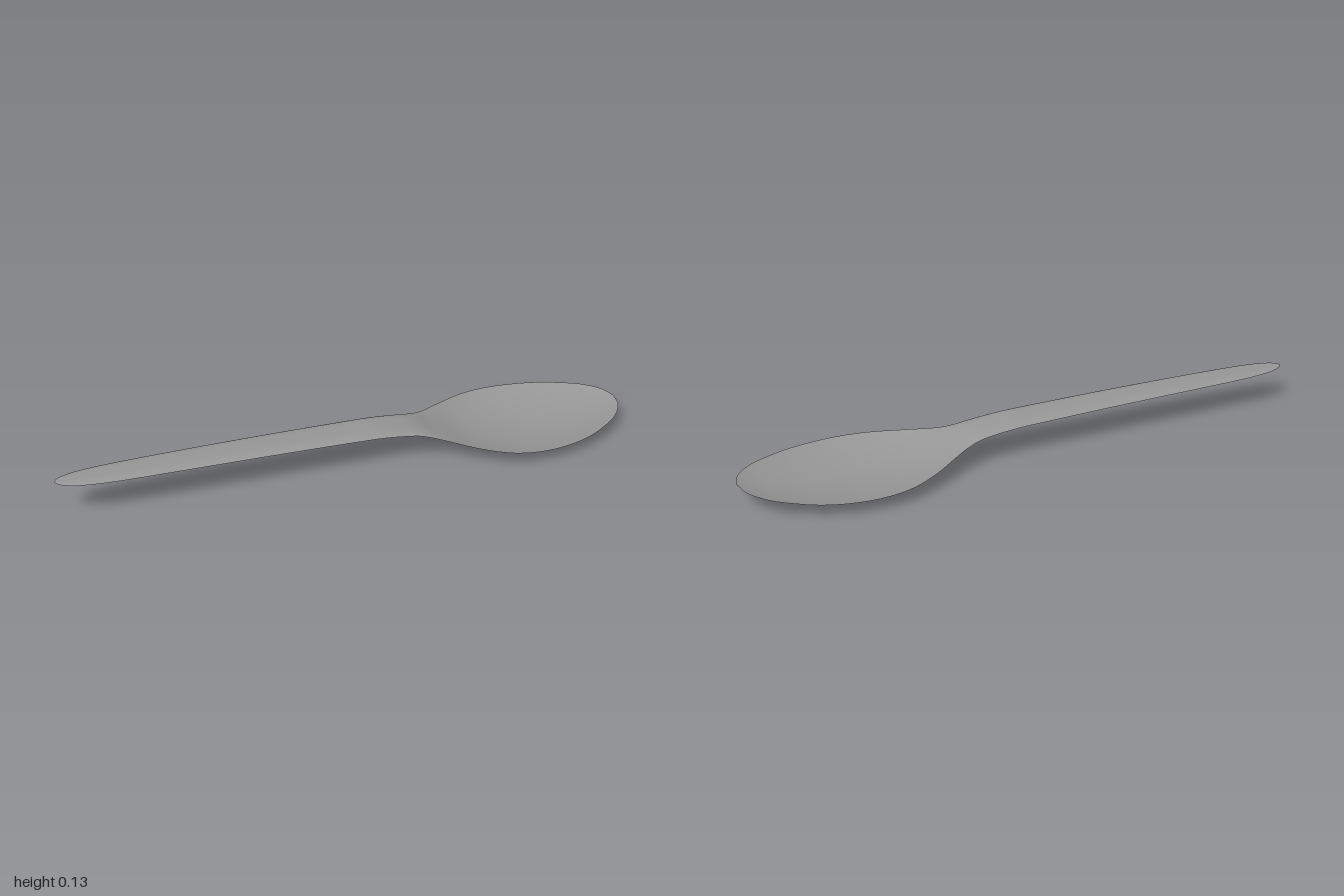
import * as THREE from 'three';

// Stations along the spoon: x, half width, edge height, top centre height, bottom centre height
const stations = [
  [-1, 0.0, 0.123, 0.123, 0.123],
  [-0.985, 0.021, 0.122, 0.125, 0.121],
  [-0.95, 0.038, 0.121, 0.126, 0.120],
  [-0.9, 0.049, 0.120, 0.127, 0.119],
  [-0.8, 0.058, 0.119, 0.128, 0.117],
  [-0.6, 0.064, 0.118, 0.128, 0.115],
  [-0.3, 0.069, 0.115, 0.127, 0.111],
  [0, 0.073, 0.109, 0.122, 0.105],
  [0.1, 0.075, 0.105, 0.117, 0.100],
  [0.2, 0.079, 0.094, 0.104, 0.088],
  [0.25, 0.089, 0.083, 0.090, 0.076],
  [0.3, 0.112, 0.072, 0.071, 0.060],
  [0.4, 0.175, 0.056, 0.037, 0.026],
  [0.5, 0.222, 0.047, 0.019, 0.009],
  [0.6, 0.239, 0.044, 0.012, 0.001],
  [0.7, 0.232, 0.044, 0.013, 0.002],
  [0.8, 0.205, 0.047, 0.020, 0.010],
  [0.9, 0.152, 0.053, 0.035, 0.026],
  [0.95, 0.110, 0.057, 0.046, 0.039],
  [0.985, 0.060, 0.060, 0.056, 0.051],
  [1, 0.0, 0.062, 0.062, 0.062],
];

const spline = (toPoint) => new THREE.CatmullRomCurve3(stations.map(toPoint), false, 'catmullrom', 0.5);

// One face of the spoon, lofted across its stations; side is 1 for top, -1 for bottom
function loftSurface(side) {
  const outline = spline(([x, width, edge]) => new THREE.Vector3(x, edge, width));
  const centre = spline(([x, , , top, bottom]) => new THREE.Vector3(x, side > 0 ? top : bottom, 0));
  const rows = 120, cols = 28;
  const geometry = new THREE.PlaneGeometry(1, 1, cols, rows);
  const pos = geometry.attributes.position;
  for (let i = 0; i <= rows; i++) {
    const edge = outline.getPoint(i / rows);
    const mid = centre.getPoint(i / rows);
    // the handle is nearly flat with rolled edges, the bowl is a shallow dish
    const bowl = THREE.MathUtils.smoothstep(edge.x, 0.15, 0.45);
    const power = THREE.MathUtils.lerp(side > 0 ? 4 : 3, 1.85, bowl);
    for (let j = 0; j <= cols; j++) {
      const u = Math.sin((j / cols - 0.5) * Math.PI);
      const y = THREE.MathUtils.lerp(mid.y, edge.y, Math.abs(u) ** power);
      // opposite column order on the two sides makes both face outwards
      pos.setXYZ(i * (cols + 1) + j, edge.x, y, -side * u * Math.max(edge.z, 0));
    }
  }
  geometry.computeVertexNormals();
  return geometry;
}

export function createModel() {
  const spoon = new THREE.Group();
  spoon.name = 'spoon';
  const material = new THREE.MeshStandardMaterial({ color: 0x979797 });
  for (const [name, side] of [['upperSurface', 1], ['underside', -1]]) {
    const mesh = new THREE.Mesh(loftSurface(side), material);
    mesh.name = name;
    spoon.add(mesh);
  }
  return spoon;
}
